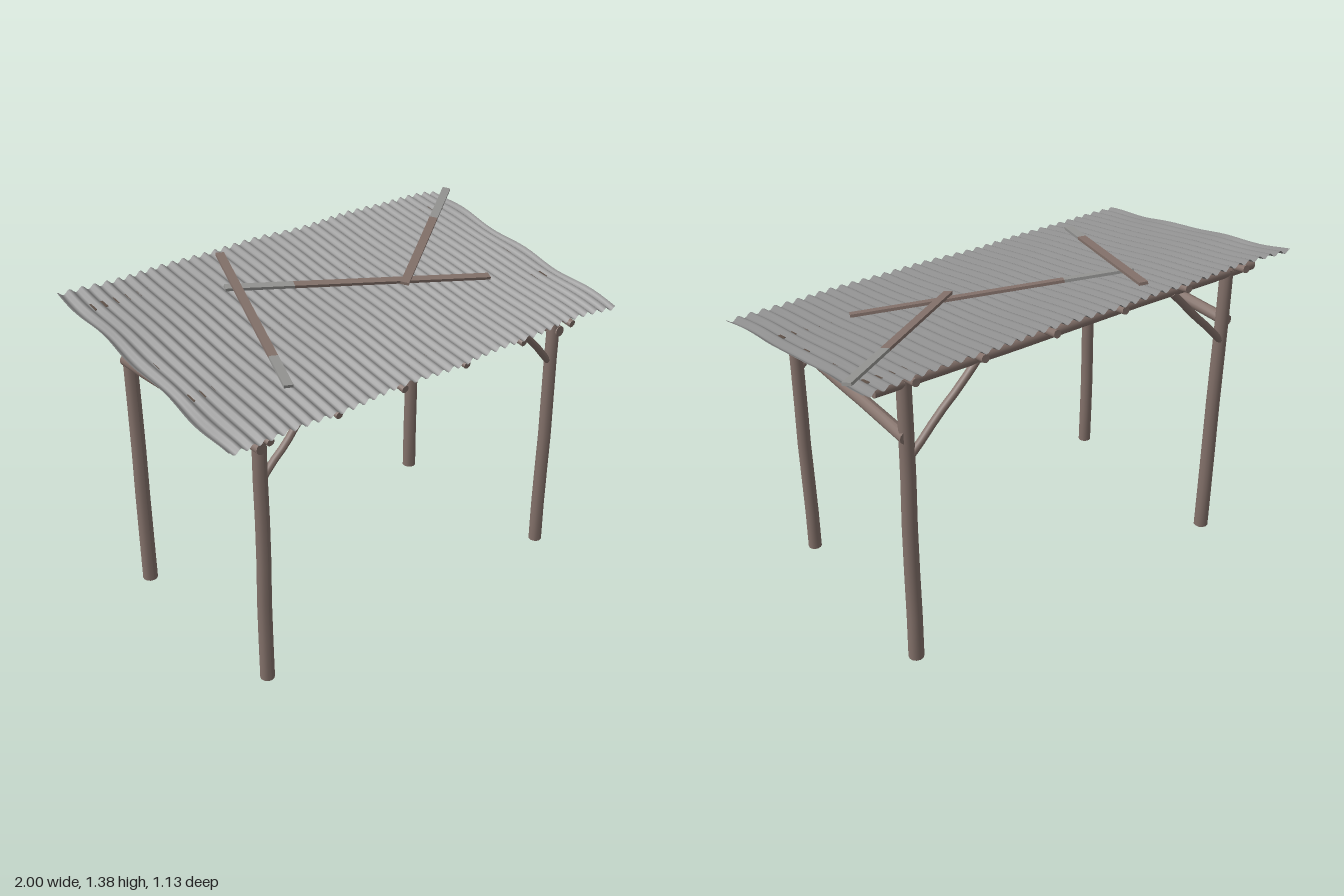
import * as THREE from 'three';

const SLOPE = 0.19;
const roofY = (z, lift = 0) => 1.25 - SLOPE * z + lift;
const V = (x, y, z) => new THREE.Vector3(x, y, z);

export function createModel() {
  const model = new THREE.Group();
  const mat = (name, color, side = THREE.FrontSide) => {
    const m = new THREE.MeshStandardMaterial({ color, side });
    m.name = name;
    return m;
  };
  const wood = mat('brown wood', 0x83716a);
  const darkWood = mat('dark wood', 0x5f5148);
  const paleWood = mat('weathered grey wood', 0x949492);
  const metal = mat('grey sheet metal', 0x8b8b8b, THREE.DoubleSide);

  const add = (name, geometry, material) => {
    const mesh = new THREE.Mesh(geometry, material);
    mesh.name = name;
    model.add(mesh);
    return mesh;
  };

  // Round timber between two points, slightly uneven along its length
  function log(name, a, b, r0, r1 = r0, wobble = 0.002) {
    const length = a.distanceTo(b);
    const geo = new THREE.CylinderGeometry(r1, r0, length, 12, 6);
    const p = geo.attributes.position;
    for (let i = 0; i < p.count; i++) {
      const t = p.getY(i) / length + 0.5;
      const s = wobble * Math.sin(t * Math.PI);
      p.setX(i, p.getX(i) + s * Math.sin(t * 9 + a.x * 5));
      p.setZ(i, p.getZ(i) + s * Math.cos(t * 7 + a.z * 5));
    }
    geo.computeVertexNormals();
    const mesh = add(name, geo, wood);
    mesh.position.copy(a).add(b).multiplyScalar(0.5);
    mesh.quaternion.setFromUnitVectors(V(0, 1, 0), b.clone().sub(a).normalize());
  }

  // Flat board lying parallel to the roof
  function board(name, a, b, width, thick, material) {
    const mesh = add(name, new THREE.BoxGeometry(a.distanceTo(b), thick, width), material);
    const dir = b.clone().sub(a).normalize();
    const side = dir.clone().cross(V(0, 1, SLOPE)).normalize();
    const up = side.clone().cross(dir);
    mesh.quaternion.setFromRotationMatrix(new THREE.Matrix4().makeBasis(dir, up, side));
    mesh.position.copy(a).add(b).multiplyScalar(0.5);
  }

  // Posts, side beams and diagonal braces
  for (const [x, s] of [[-0.78, -1], [0.74, 1]]) {
    log('frontPost', V(x, 0, 0.425), V(x, 1.09, 0.43), 0.029, 0.027);
    log('rearPost', V(x, 0, -0.438), V(x, 1.285, -0.442), 0.032, 0.028);
    log('sideBeam', V(x + s * 0.01, 1.048, 0.46), V(x + s * 0.01, 1.052, -0.46), 0.023, 0.026);
    log('frontBrace', V(x - s * 0.005, 0.9, 0.43), V(x - s * 0.19, 1.095, 0.43), 0.015);
    log('rearBrace', V(x - s * 0.005, 0.96, -0.452), V(x - s * 0.3, 1.265, -0.452), 0.016);
  }

  // Cross beams carrying the rafters
  log('frontBeam', V(-0.91, 1.1, 0.43), V(0.865, 1.097, 0.43), 0.024, 0.021);
  log('rearBeam', V(-0.91, 1.274, -0.445), V(0.865, 1.274, -0.445), 0.026, 0.023);

  // Rafters
  for (const x of [-0.8, -0.495, -0.18, 0.14, 0.455, 0.74])
    log('rafter', V(x, roofY(0.53, -0.04), 0.53), V(x, roofY(-0.53, -0.04), -0.53), 0.016);

  // Flat battens between rafters and roof sheet
  for (let i = 0; i < 5; i++) {
    const z = -0.44 + i * 0.22;
    board('batten', V(-0.92, roofY(z, -0.018), z), V(0.9, roofY(z, -0.018), z), 0.045, 0.014, darkWood);
  }

  // Corrugated roof sheet with uneven, sagging edges
  const waves = 38;
  const sheet = new THREE.PlaneGeometry(1.96, 1.115, waves * 8, 28);
  sheet.rotateX(-Math.PI / 2);
  const p = sheet.attributes.position;
  for (let i = 0; i < p.count; i++) {
    const u = p.getX(i) / 0.98, v = p.getZ(i) / 0.5575;
    const ex = Math.abs(u) ** 12, ez = Math.abs(v) ** 8;
    const x = p.getX(i) - 0.018 + ex * 0.005 * Math.sin(v * 8 + u);
    const z = p.getZ(i) + ez * 0.005 * (Math.sin(u * 13 + v) + Math.sin(u * 7));
    const ridge = 0.009 * Math.cos(u * Math.PI * waves);
    const sag = ex * (-0.009 + 0.005 * Math.sin(v * 9 + u)) + 0.002 * Math.sin(v * 6 + u * 4);
    p.setXYZ(i, x, roofY(z) + ridge + sag, z);
  }
  sheet.computeVertexNormals();
  add('roofSheet', sheet, metal);

  // Loose planks weighing the roof down, each with one weathered end
  const planks = [
    [-0.3, -0.485, -0.61, 0.385, 0.8, 0.029],
    [0.62, 0.16, -0.42, -0.28, 0.75, 0.016],
    [0.24, 0.05, 0.985, -0.495, 0.66, 0.027],
  ];
  for (const [x0, z0, x1, z1, split, lift] of planks) {
    const a = V(x0, roofY(z0, lift), z0), b = V(x1, roofY(z1, lift), z1);
    const mid = a.clone().lerp(b, split);
    board('roofPlank', a, mid, 0.036, 0.012, wood);
    board('roofPlankWeatheredEnd', mid, b, 0.036, 0.012, paleWood);
  }
  return model;
}
